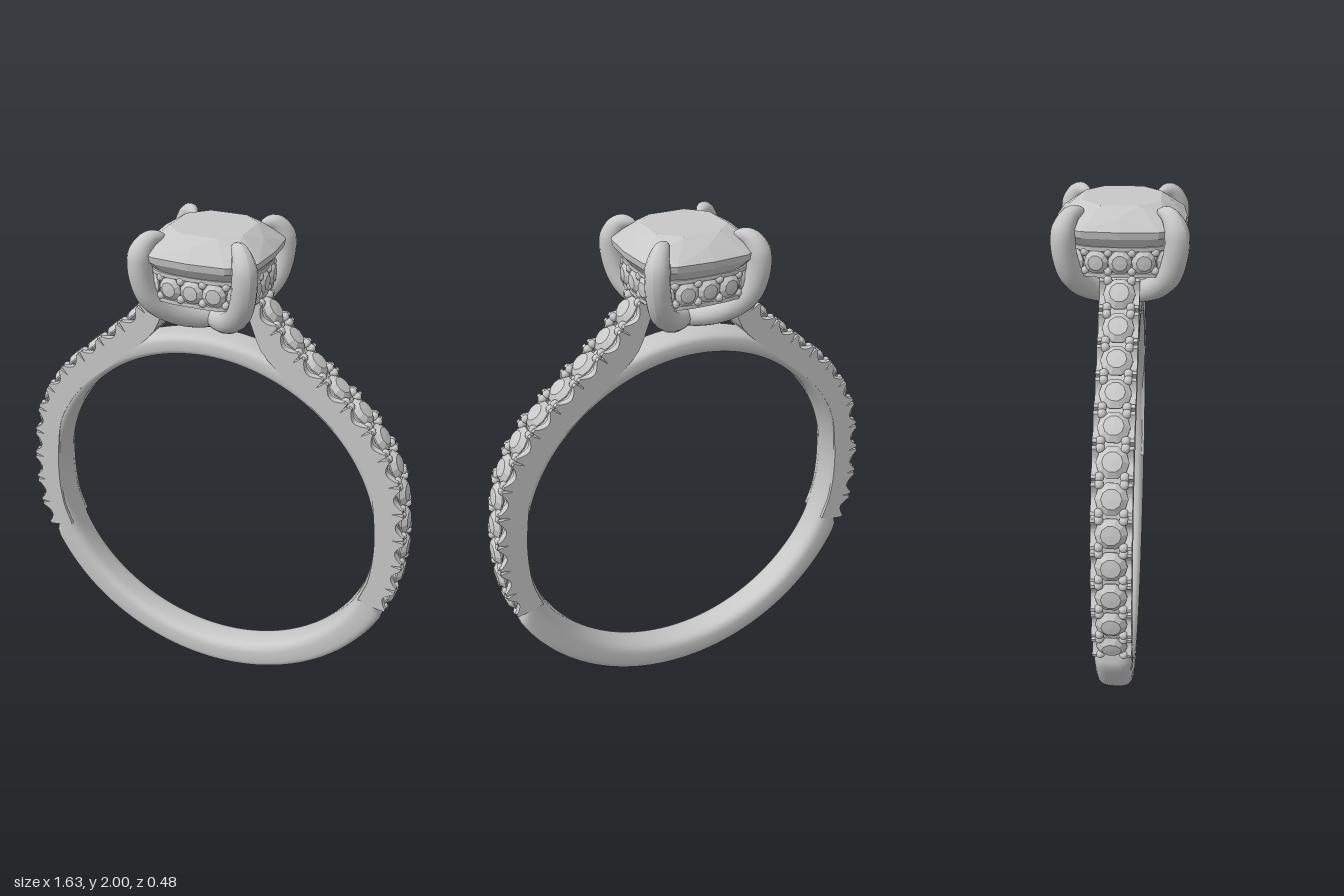
import * as THREE from 'three';
import { toCreasedNormals } from 'three/addons/utils/BufferGeometryUtils.js';
import { ConvexGeometry } from 'three/addons/geometries/ConvexGeometry.js';

const silver = new THREE.MeshStandardMaterial({ color: 0xc8c8c8 });
silver.name = 'silver';

const CY = 0.815; // centre height of the finger hole
const UP = new THREE.Vector3(0, 1, 0);
const pw = (v, n) => Math.sign(v) * Math.abs(v) ** (2 / n);
const cushion = (a, r, y, n = 3.5) =>
  new THREE.Vector3(r * pw(Math.cos(a), n), y, r * pw(Math.sin(a), n));

function add(parent, name, geometry) {
  const mesh = new THREE.Mesh(geometry, silver);
  mesh.name = name;
  parent.add(mesh);
  return mesh;
}

// Full band: a rounded section swept round the finger, thicker at the bottom
function bandGeometry() {
  const N = 160, M = 28, pos = [], idx = [];
  for (let i = 0; i < N; i++) {
    const a = (i / N) * Math.PI * 2;
    const fromBottom = Math.min(a, Math.PI * 2 - a) * 180 / Math.PI;
    const outer = THREE.MathUtils.lerp(0.815, 0.77, THREE.MathUtils.smoothstep(fromBottom, 66, 72));
    const mid = (0.685 + outer) / 2, half = (outer - 0.685) / 2;
    for (let j = 0; j < M; j++) {
      const b = (j / M) * Math.PI * 2;
      const r = mid + half * pw(Math.sin(b), 3.2);
      pos.push(r * Math.sin(a), CY - r * Math.cos(a), 0.069 * pw(Math.cos(b), 3.2));
      const i2 = (i + 1) % N, j2 = (j + 1) % M;
      const p = i * M + j, q = i2 * M + j, s = i * M + j2, t = i2 * M + j2;
      idx.push(p, s, q, s, t, q);
    }
  }
  const g = new THREE.BufferGeometry();
  g.setAttribute('position', new THREE.Float32BufferAttribute(pos, 3));
  g.setIndex(idx);
  g.computeVertexNormals();
  return g;
}

// Small round cut stone, girdle at y = 0
function smallStone(r) {
  const profile = [[0, -0.6], [1, -0.05], [1, 0.05], [0.62, 0.36], [0, 0.4]];
  const g = new THREE.LatheGeometry(profile.map(([x, y]) => new THREE.Vector2(x * r, y * r)), 10).toNonIndexed();
  g.computeVertexNormals();
  return g;
}

// Outer edge line of the right-hand shoulder
const edge = new THREE.CatmullRomCurve3([
  [0.762, 0.54], [0.795, 0.65], [0.808, 0.8], [0.798, 0.96], [0.757, 1.153],
  [0.64, 1.34], [0.466, 1.497], [0.307, 1.64], [0.2, 1.765],
].map(([x, y]) => new THREE.Vector3(x, y, 0)));
const STONES = 12;

function edgeFrame(u) {
  const p = edge.getPointAt(u), t = edge.getTangentAt(u);
  return { p, n: new THREE.Vector3(t.y, -t.x, 0) };
}

// Side outline of a shoulder; depthAt gives how far the rim is cut back
function shoulderPlate(side, z0, z1, depthAt) {
  const steps = STONES * 20, outer = [], inner = [];
  const at = (u, d) => {
    const { p, n } = edgeFrame(u);
    return new THREE.Vector2(side * (p.x - n.x * d), p.y - n.y * d);
  };
  for (let i = 0; i <= steps; i++) outer.push(at(i / steps, depthAt(i / steps)));
  for (let i = 40; i >= 0; i--) {
    inner.push(at(i / 40, 0.115 - 0.045 * THREE.MathUtils.smoothstep(i / 40, 0.88, 1)));
  }
  const g = new THREE.ExtrudeGeometry(new THREE.Shape([...outer, ...inner]), { depth: z1 - z0, bevelEnabled: false });
  g.translate(0, 0, z0);
  return toCreasedNormals(g, 0.5);
}

// Scalloped rim: dip beside each stone, narrow slit between stones
function scallop(u) {
  const k = Math.abs(((u * STONES) % 1) - 0.5);
  if (k > 0.455) return 0.045;
  if (k > 0.34) return 0.004;
  return 0.008 + 0.026 * Math.cos((k / 0.34) * Math.PI / 2);
}

function shoulder(side) {
  const g = new THREE.Group();
  g.name = side > 0 ? 'leftShoulder' : 'rightShoulder';
  add(g, 'shoulderCore', shoulderPlate(side, -0.045, 0.045, () => 0.042));
  add(g, 'frontScallopedWall', shoulderPlate(side, 0.042, 0.07, scallop));
  add(g, 'backScallopedWall', shoulderPlate(side, -0.07, -0.042, scallop));
  const stone = smallStone(0.056), bead = new THREE.SphereGeometry(0.017, 10, 8);
  for (let i = 0; i < STONES; i++) {
    const { p, n } = edgeFrame((i + 0.5) / STONES);
    p.addScaledVector(n, -0.017);
    const m = add(g, 'shoulderStone', stone);
    m.position.set(side * p.x, p.y, 0);
    m.quaternion.setFromUnitVectors(UP, new THREE.Vector3(side * n.x, n.y, 0));
    // Four holding beads round each stone
    for (const k of [0.1, 0.9]) for (const z of [-0.042, 0.042]) {
      const f = edgeFrame((i + k) / STONES);
      f.p.addScaledVector(f.n, -0.014);
      add(g, 'shoulderBead', bead).position.set(side * f.p.x, f.p.y, z);
    }
  }
  return g;
}

// Large cushion-cut stone
function centreStone() {
  const pts = [new THREE.Vector3(0, 1.69, 0)];
  for (let i = 0; i < 16; i++) {
    const a = (i / 16) * Math.PI * 2;
    pts.push(cushion(a, 0.226, 1.9), cushion(a, 0.23, 1.925));
    if (i % 2) pts.push(cushion(a, 0.145, 1.992, 2.6));
    else pts.push(cushion(a, 0.185, 1.966, 2.8), cushion(a, 0.15, 1.81, 2.8));
  }
  return new ConvexGeometry(pts);
}

// U-shaped wire across one diagonal, its two ends being tapered claws
function clawWire(dir) {
  const half = [[0.1, 1.682], [0.168, 1.755], [0.193, 1.85], [0.19, 1.925], [0.165, 1.968], [0.125, 1.972]];
  const line = [...half.map(([x, y]) => [-x, y]).reverse(), [0, 1.648], ...half];
  const path = new THREE.CatmullRomCurve3(line.map(([x, y]) => new THREE.Vector3(x, y, x * dir)));
  const N = 96, M = 16, g = new THREE.TubeGeometry(path, N, 0.044, M);
  const pos = g.attributes.position, v = new THREE.Vector3();
  for (let i = 0; i <= N; i++) {
    const c = path.getPointAt(i / N);
    const end = Math.min(i, N - i) / N;
    const s = Math.min(1, Math.sqrt(end / 0.11)) * (0.85 + 0.15 * Math.min(1, Math.abs(c.x) / 0.15));
    for (let j = 0; j <= M; j++) {
      const k = i * (M + 1) + j;
      v.fromBufferAttribute(pos, k).sub(c).multiplyScalar(s).add(c);
      pos.setXYZ(k, v.x, v.y, v.z);
    }
  }
  g.computeVertexNormals();
  return g;
}

// Gallery rail below the large stone, set with small stones all round
function gallery() {
  const g = new THREE.Group();
  g.name = 'gallery';
  const outline = (r) => Array.from({ length: 48 }, (_, i) => {
    const p = cushion((i / 48) * Math.PI * 2, r, 0);
    return new THREE.Vector2(p.x, p.z);
  });
  const rail = (r, y, h) => {
    const shape = new THREE.Shape(outline(r));
    shape.holes.push(new THREE.Path(outline(0.15)));
    const e = new THREE.ExtrudeGeometry(shape, { depth: h, bevelEnabled: false });
    e.rotateX(-Math.PI / 2).translate(0, y, 0);
    return toCreasedNormals(e, 0.6);
  };
  add(g, 'galleryWall', rail(0.183, 1.765, 0.092));
  add(g, 'lowerRail', rail(0.197, 1.757, 0.014));
  add(g, 'upperRail', rail(0.197, 1.85, 0.014));
  const loop = new THREE.CatmullRomCurve3(
    outline(0.19).map((p) => new THREE.Vector3(p.x, 1.81, p.y)), true);
  const stone = smallStone(0.043), bead = new THREE.SphereGeometry(0.015, 10, 8);
  for (let i = 0; i < 16; i++) {
    const t = loop.getTangentAt(i / 16);
    const m = add(g, 'galleryStone', stone);
    m.position.copy(loop.getPointAt(i / 16));
    m.quaternion.setFromUnitVectors(UP, new THREE.Vector3(t.z, 0, -t.x));
    const b = loop.getPointAt((i + 0.5) / 16);
    for (const y of [1.777, 1.843]) add(g, 'galleryBead', bead).position.set(b.x, y, b.z);
  }
  return g;
}

export function createModel() {
  const ring = new THREE.Group();
  ring.name = 'ring';
  add(ring, 'band', bandGeometry());
  for (const side of [1, -1]) ring.add(shoulder(side));
  ring.add(gallery());
  add(ring, 'centreStone', centreStone());
  for (const dir of [1, -1]) add(ring, 'clawWire', clawWire(dir));
  return ring;
}
